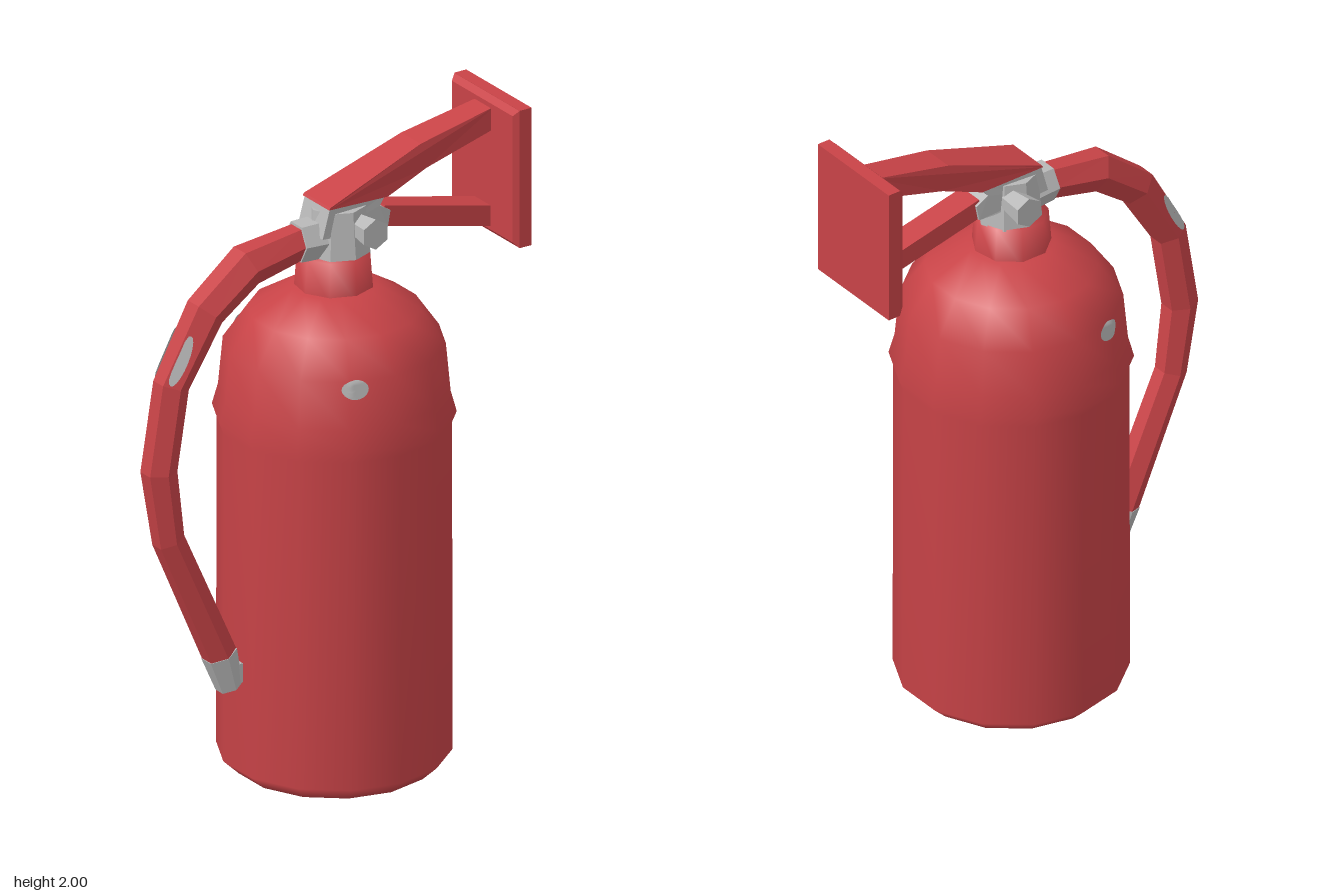
import * as THREE from 'three';

const red = new THREE.MeshStandardMaterial({ color: 0xc84347, name: 'red paint' });
const grey = new THREE.MeshStandardMaterial({ color: 0xb8b8b8, name: 'grey metal', side: THREE.DoubleSide });
red.side = THREE.DoubleSide;

// Surface of revolution around the tank axis, from [radius, y] pairs
function turned(profile, sides) {
  const g = new THREE.LatheGeometry(profile.map(([r, y]) => new THREE.Vector2(r, y)), sides);
  return g.translate(0.04, 0, 0);
}

// Flat-shaded six-sided tube through [x, y, radius] stations in the z = 0 plane
function hexTube(stations) {
  const n = stations.length, pos = [], idx = [];
  stations.forEach(([x, y, r], i) => {
    const p = stations[Math.max(i - 1, 0)], q = stations[Math.min(i + 1, n - 1)];
    const t = new THREE.Vector2(q[0] - p[0], q[1] - p[1]).normalize();
    for (let j = 0; j < 6; j++) {
      const a = Math.PI / 6 + j * Math.PI / 3, c = Math.cos(a) * r / 0.866;
      pos.push(x - t.y * c, y + t.x * c, Math.sin(a) * r * 1.08);
    }
  });
  for (let i = 0; i < n - 1; i++) {
    for (let j = 0; j < 6; j++) {
      const a = i * 6 + j, b = i * 6 + (j + 1) % 6;
      idx.push(a, b, a + 6, b, b + 6, a + 6);
    }
  }
  const e = (n - 1) * 6;
  for (let j = 1; j < 5; j++) idx.push(0, j + 1, j, e, e + j, e + j + 1);
  const g = new THREE.BufferGeometry();
  g.setAttribute('position', new THREE.Float32BufferAttribute(pos, 3));
  g.setIndex(idx);
  const flat = g.toNonIndexed();
  flat.computeVertexNormals();
  return flat;
}

// Side outline in x, y extruded across z, with a half width that depends on x
function bar(outline, halfWidth) {
  const shape = new THREE.Shape(outline.map(([x, y]) => new THREE.Vector2(x, y)));
  const g = new THREE.ExtrudeGeometry(shape, { depth: 2, bevelEnabled: false }).translate(0, 0, -1);
  const p = g.attributes.position;
  for (let i = 0; i < p.count; i++) p.setZ(i, p.getZ(i) * halfWidth(p.getX(i)));
  g.computeVertexNormals();
  return g;
}

// Thin oval laid on a surface by projecting it along z
function spot(target, x, y, rx, ry, turn, side) {
  const g = new THREE.RingGeometry(0.01, 1, 20, 4);
  const p = g.attributes.position, ray = new THREE.Raycaster();
  for (let i = 0; i < p.count; i++) {
    let u = p.getX(i) * rx, v = p.getY(i) * ry;
    for (let k = 0; k < 30; k++, u *= 0.9, v *= 0.9) {
      const px = x + u * Math.cos(turn) - v * Math.sin(turn);
      const py = y + u * Math.sin(turn) + v * Math.cos(turn);
      ray.set(new THREE.Vector3(px, py, side * 2), new THREE.Vector3(0, 0, -side));
      const hit = ray.intersectObject(target)[0];
      if (hit) {
        p.setXYZ(i, px, py, hit.point.z + side * 0.007);
        break;
      }
    }
  }
  if (side < 0) g.setIndex(Array.from(g.index.array).reverse());
  g.computeVertexNormals();
  return g;
}

export function createModel() {
  const model = new THREE.Group();
  model.name = 'fireExtinguisher';
  const add = (name, geometry, material) => {
    const mesh = new THREE.Mesh(geometry, material);
    mesh.name = name;
    model.add(mesh);
    return mesh;
  };

  // Tank with bevelled foot, raised seam and domed shoulder
  const tank = add('tank', turned([
    [0, 0.005], [0.3, 0.005], [0.348, 0.05], [0.346, 1.09], [0.36, 1.125], [0.342, 1.19],
    [0.328, 1.34], [0.255, 1.445], [0.13, 1.52], [0, 1.525],
  ], 14), red);
  add('neck', turned([[0.12, 1.5], [0.11, 1.625], [0, 1.625]], 9), red);

  // Valve core, head and lever pivot
  const core = new THREE.CylinderGeometry(0.085, 0.1, 0.15, 8).toNonIndexed();
  core.computeVertexNormals();
  add('valveCore', core.translate(0.05, 1.695, 0), grey);
  add('valveHead', bar([
    [-0.045, 1.7], [0.14, 1.68], [0.195, 1.68], [0.205, 1.73], [0.165, 1.755], [0.19, 1.79], [-0.02, 1.79],
  ], (x) => 0.066 - Math.max(x, 0) * 0.08), grey);
  add('hoseCollar', hexTube([[-0.095, 1.682, 0.055], [-0.02, 1.68, 0.058]]), grey);

  // Side knobs
  for (const side of [1, -1]) {
    const knob = new THREE.CylinderGeometry(0.048, 0.036, 0.09, 6).toNonIndexed();
    knob.computeVertexNormals();
    knob.rotateX(side * Math.PI / 2).translate(0.087, 1.715, side * 0.104);
    add(side > 0 ? 'frontKnob' : 'backKnob', knob, grey);
  }

  // Handle arms and end plate
  add('upperHandle', bar([
    [-0.025, 1.79], [0.19, 1.78], [0.33, 1.835], [0.575, 1.9], [0.575, 1.97], [0.31, 1.917], [-0.02, 1.797],
  ], (x) => Math.max(0.07 - Math.max(x, 0) * 0.06, 0.043)), red);
  add('lowerHandle', bar([
    [0.17, 1.685], [0.575, 1.59], [0.575, 1.655], [0.19, 1.745],
  ], () => 0.042), red);
  add('endPlate', new THREE.BoxGeometry(0.042, 0.437, 0.345).translate(0.601, 1.7815, -0.003), red);
  const rim = new THREE.BoxGeometry(0.018, 0.437, 0.345);
  const rp = rim.attributes.position;
  for (let i = 0; i < rp.count; i++) {
    if (rp.getX(i) < 0) rp.setXYZ(i, rp.getX(i), rp.getY(i) * 0.92, rp.getZ(i) * 0.93);
  }
  rim.computeVertexNormals();
  add('plateBevel', rim.translate(0.572, 1.7815, -0.003), red);

  // Hose and nozzle
  const hose = add('hose', hexTube([
    [-0.085, 1.682, 0.048], [-0.27, 1.65, 0.058], [-0.415, 1.537, 0.054], [-0.535, 1.33, 0.048],
    [-0.578, 1.065, 0.048], [-0.545, 0.84, 0.043], [-0.365, 0.435, 0.046],
  ]), red);
  add('nozzle', hexTube([[-0.366, 0.437, 0.048], [-0.331, 0.325, 0.036]]), grey);
  add('nozzleTip', new THREE.BoxGeometry(0.035, 0.06, 0.05).translate(-0.312, 0.368, 0), grey);

  // Worn spots on both sides of the tank and hose
  for (const side of [1, -1]) {
    const end = side > 0 ? 'Front' : 'Back';
    add('tankSpot' + end, spot(tank, -0.088, 1.317, 0.038, 0.03, 0, side), grey);
    add('hoseSpot' + end, spot(hose, -0.527, 1.418, 0.08, 0.019, 1.1, side), grey);
  }
  return model;
}
